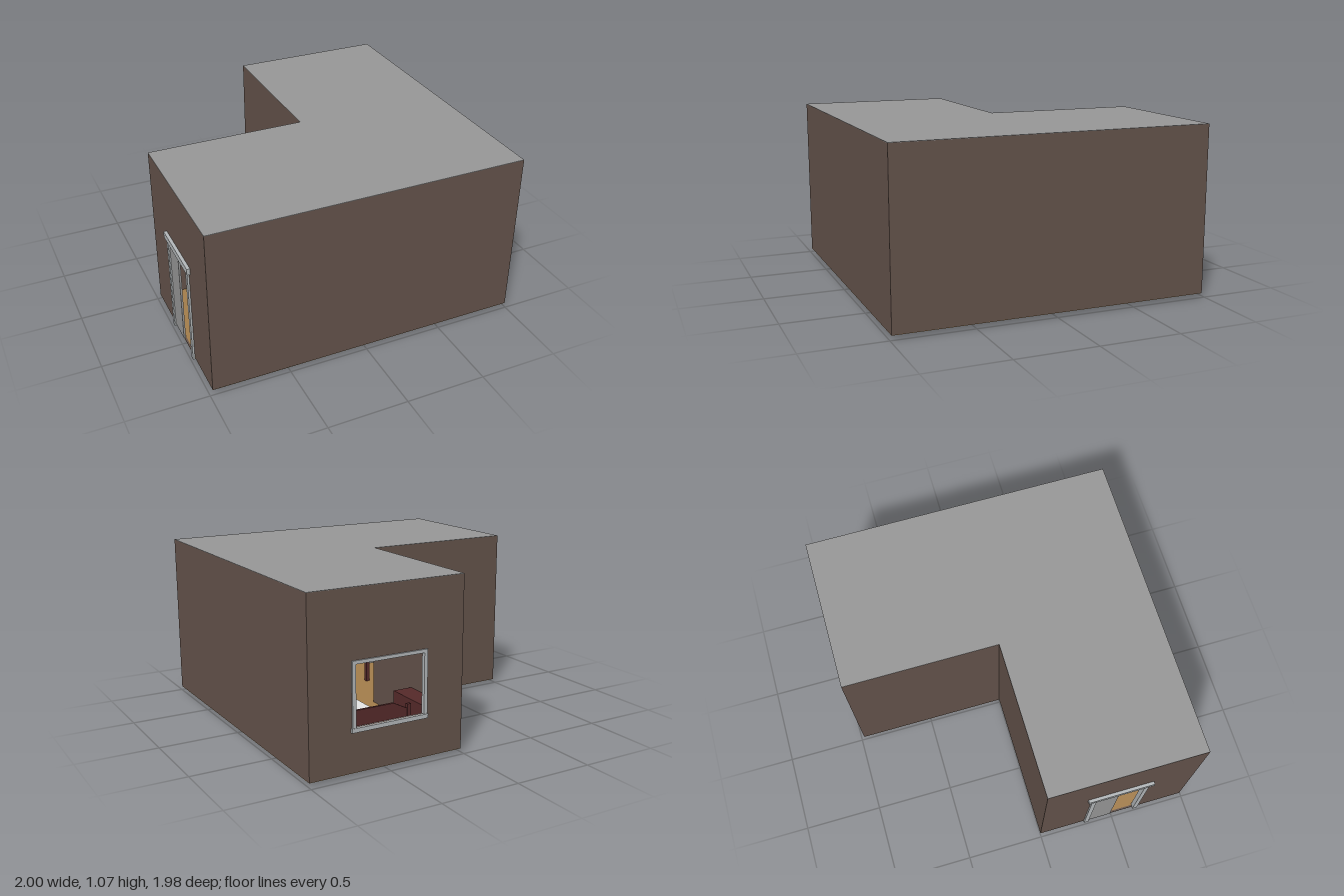
import * as THREE from 'three';

const mat = (name, color) => Object.assign(new THREE.MeshStandardMaterial({ color }), { name });

export function createModel() {
  const model = new THREE.Group();
  const brown = mat('wall brown', 0x64534b);
  const grey = mat('roof grey', 0x979797);
  const pale = mat('frame grey', 0xb4b8ba);
  const oak = mat('floor oak', 0xa37d4b);
  const redwood = mat('red wood', 0x562a2a);
  const white = mat('linen white', 0xe6e6e6);
  const dark = mat('book dark', 0x35353a);

  const add = (name, geometry, material, parent = model) => {
    const mesh = new THREE.Mesh(geometry, material);
    mesh.name = name;
    parent.add(mesh);
    return mesh;
  };
  // Box given by its low and high corners
  const box = (name, material, x0, x1, y0, y1, z0, z1, parent) => {
    const mesh = add(name, new THREE.BoxGeometry(x1 - x0, y1 - y0, z1 - z0), material, parent);
    mesh.position.set((x0 + x1) / 2, (y0 + y1) / 2, (z0 + z1) / 2);
    return mesh;
  };
  const group = (name) => {
    const g = new THREE.Group();
    g.name = name;
    model.add(g);
    return g;
  };
  const rect = (C, x0, x1, y0, y1) => new C([[x0, y0], [x1, y0], [x1, y1], [x0, y1]].map((p) => new THREE.Vector2(...p)));

  // L-shaped footprint as x, z corners
  const plan = [[-0.98, 0], [0.01, 0], [0.01, -0.98], [1, -0.98], [1, 0.99], [-0.98, 0.99]];
  const slab = (name, material, y, depth) => {
    const shape = new THREE.Shape(plan.map(([x, z]) => new THREE.Vector2(x, -z)));
    const geometry = new THREE.ExtrudeGeometry(shape, { depth, bevelEnabled: false });
    add(name, geometry.rotateX(-Math.PI / 2), material).position.y = y;
  };
  slab('floor', oak, 0.028, 0.003);
  slab('roof', grey, 1.068, 0.003);

  // Walls, with the window in the back wing and the doorway at the side
  const openings = { 2: [0.26, 0.71, 0.29, 0.65], 5: [0.34, 0.66, 0.032, 0.65] };
  plan.forEach(([x, z], i) => {
    const [x2, z2] = plan[(i + 1) % plan.length];
    const shape = rect(THREE.Shape, 0, Math.hypot(x2 - x, z2 - z), 0.031, 1.068);
    if (openings[i]) shape.holes.push(rect(THREE.Path, ...openings[i]));
    const wall = add('wall', new THREE.ExtrudeGeometry(shape, { depth: 0.012, bevelEnabled: false }), brown);
    wall.position.set(x, 0, z);
    wall.rotation.y = Math.atan2(z - z2, x2 - x);
  });

  // Window frame
  const win = group('windowFrame');
  for (const x of [0.255, 0.715]) box('windowJamb', pale, x, x + 0.022, 0.27, 0.67, -0.99, -0.965, win);
  box('windowHead', pale, 0.255, 0.737, 0.65, 0.67, -0.99, -0.965, win);
  box('windowSill', pale, 0.25, 0.742, 0.265, 0.29, -0.993, -0.965, win);

  // Door frame and half-open sliding leaf
  const door = group('door');
  for (const z of [0.305, 0.65]) box('doorJamb', pale, -0.992, -0.96, 0.015, 0.65, z, z + 0.03, door);
  box('doorHead', pale, -1, -0.96, 0.645, 0.685, 0.28, 0.705, door);
  box('doorLeaf', grey, -0.984, -0.972, 0.033, 0.645, 0.335, 0.49, door);

  // Bed along the back wall of the wing
  const bed = group('bed');
  for (const x of [0.36, 0.965]) for (const z of [-0.955, -0.1]) {
    box('bedPost', redwood, x - 0.012, x + 0.012, 0.022, z < -0.5 ? 0.36 : 0.22, z - 0.01, z + 0.01, bed);
  }
  box('bedFrame', redwood, 0.355, 0.97, 0.08, 0.14, -0.955, -0.1, bed);
  box('mattress', white, 0.37, 0.96, 0.14, 0.22, -0.94, -0.11, bed);
  for (const x of [0.4, 0.69]) box('pillow', white, x, x + 0.24, 0.22, 0.26, -0.93, -0.78, bed);
  const head = new THREE.Shape([[0.36, 0.1], [0.97, 0.1], [0.97, 0.33], [0.87, 0.38], [0.46, 0.38], [0.36, 0.33]]
    .map((p) => new THREE.Vector2(...p)));
  add('headboard', new THREE.ExtrudeGeometry(head, { depth: 0.015, bevelEnabled: false }), redwood, bed).position.z = -0.962;

  // Low cabinet against the inner wall
  box('cabinet', redwood, 0.022, 0.15, 0.024, 0.26, -0.97, -0.46);

  // Table on four legs
  const table = group('table');
  box('tableTop', redwood, -0.2, 0.16, 0.23, 0.255, 0.4, 0.94, table);
  for (const x of [-0.18, 0.14]) for (const z of [0.43, 0.92]) {
    box('tableLeg', redwood, x - 0.013, x + 0.013, 0, 0.23, z - 0.013, z + 0.013, table);
  }

  // Open bookcase beside the doorway
  const shelves = group('bookcase');
  box('bookcaseBase', pale, -0.96, -0.4, 0.016, 0.045, 0.8, 0.978, shelves);
  box('bookcaseBack', pale, -0.96, -0.4, 0.045, 0.72, 0.968, 0.978, shelves);
  for (const x of [-0.96, -0.415]) box('bookcaseSide', pale, x, x + 0.015, 0.045, 0.72, 0.8, 0.97, shelves);
  for (let i = 1; i < 6; i++) {
    const y = 0.045 + i * 0.132;
    box('shelf', pale, -0.95, -0.41, y, y + 0.015, 0.8, 0.97, shelves);
    for (let k = 0; k < 7 && i < 5; k++) {
      const x = -0.93 + k * 0.07;
      box('book', dark, x, x + 0.03, y + 0.015, y + 0.1, 0.83, 0.96, shelves);
    }
  }
  return model;
}
